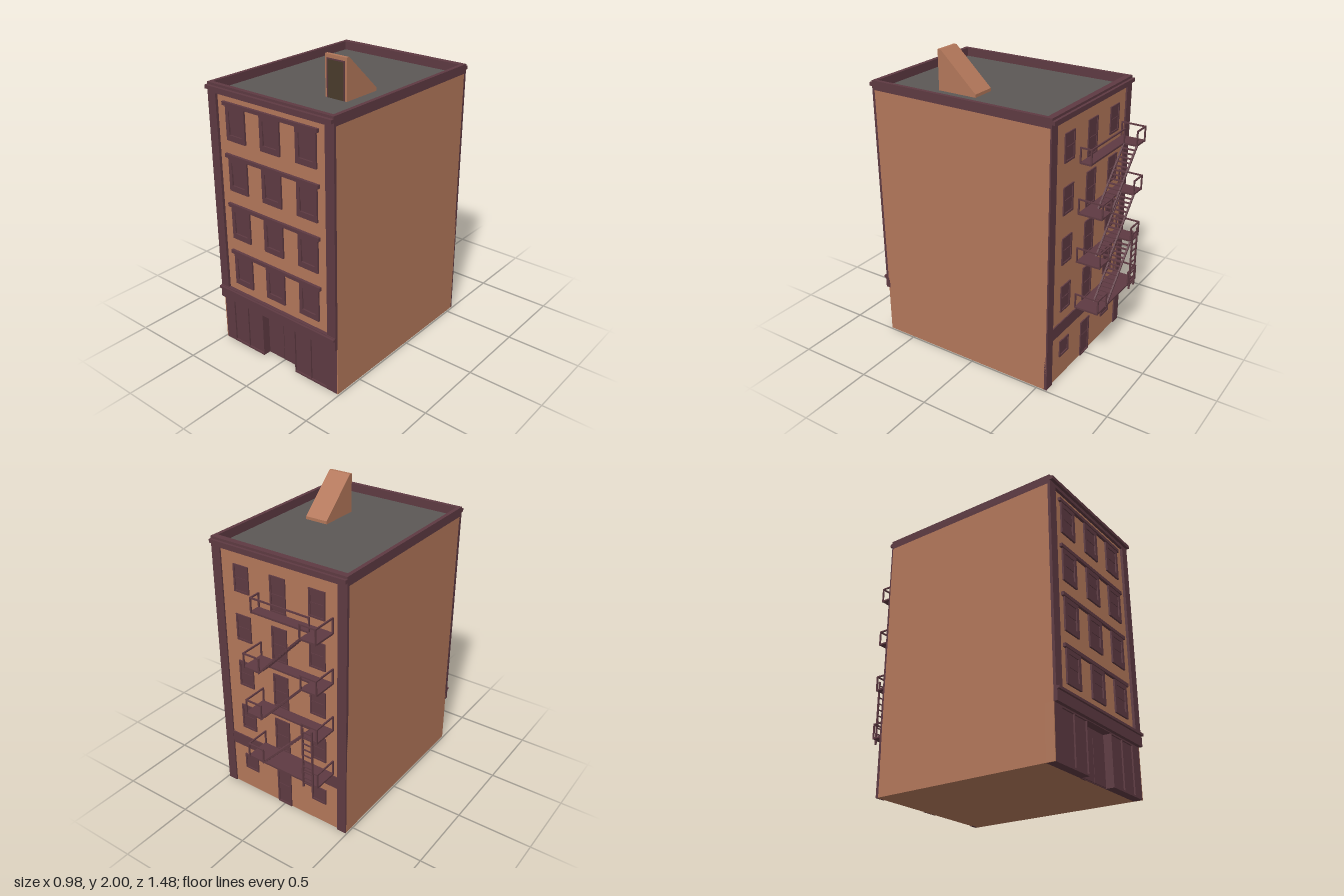
import * as THREE from 'three';

const mat = (color) => new THREE.MeshStandardMaterial({ color, flatShading: true });
const brick = mat(0xb3775a), plum = mat(0x5e3a42), tar = mat(0x5c5856), doorBrown = mat(0x4a3b2b);

export function createModel() {
  const model = new THREE.Group();

  const group = (name, parent = model) => {
    const g = new THREE.Group();
    g.name = name;
    parent.add(g);
    return g;
  };
  const add = (parent, name, geometry, material) => {
    const mesh = new THREE.Mesh(geometry, material);
    mesh.name = name;
    parent.add(mesh);
    return mesh;
  };
  // Box given by its extents on each axis
  const box = (parent, name, material, x0, x1, y0, y1, z0, z1) => {
    const mesh = add(parent, name, new THREE.BoxGeometry(x1 - x0, y1 - y0, z1 - z0), material);
    mesh.position.set((x0 + x1) / 2, (y0 + y1) / 2, (z0 + z1) / 2);
    return mesh;
  };
  const outline = (points) => new THREE.Shape(points.map(([x, y]) => new THREE.Vector2(x, y)));
  const rect = (x0, x1, y0, y1) => outline([[x0, y0], [x1, y0], [x1, y1], [x0, y1]]);
  // Flat shape with holes, extruded along z
  const slab = (parent, name, material, shape, holes, z0, depth) => {
    shape.holes = holes;
    const mesh = add(parent, name,
      new THREE.ExtrudeGeometry(shape, { depth, bevelEnabled: false }), material);
    mesh.position.z = z0;
    return mesh;
  };
  // Square bar between two points
  const bar = (parent, name, a, b, t = 0.009) => {
    const p = new THREE.Vector3(...a), q = new THREE.Vector3(...b);
    const mesh = add(parent, name, new THREE.BoxGeometry(t, t, p.distanceTo(q) + t), plum);
    mesh.position.copy(p).lerp(q, 0.5);
    mesh.lookAt(q);
  };

  // Brick body and roof
  const body = group('body');
  box(body, 'upperWalls', brick, -0.49, 0.49, 0.33, 1.74, -0.56, 0.70);
  box(body, 'groundWalls', brick, -0.49, 0.49, 0, 0.33, -0.56, 0.64);
  for (const s of [-1, 1]) {
    const a = s * 0.484, b = s * 0.49;
    box(body, 'wallEnd', brick, Math.min(a, b), Math.max(a, b), 0, 0.33, 0.64, 0.70);
  }
  box(body, 'roofDeck', tar, -0.47, 0.47, 1.74, 1.743, -0.54, 0.695);

  // Parapet and cornices
  const parapet = group('parapet');
  const ring = slab(parapet, 'parapetWall', plum, rect(-0.49, 0.49, -0.718, 0.57),
    [rect(-0.465, 0.465, -0.69, 0.53)], 0, 0.06);
  ring.rotation.x = -Math.PI / 2;
  ring.position.y = 1.74;
  box(parapet, 'frontCornice', plum, -0.49, 0.49, 1.762, 1.785, 0.71, 0.738);
  box(parapet, 'backCornice', plum, -0.49, 0.49, 1.762, 1.785, -0.587, -0.56);

  // Corner strips and belts
  const trim = group('trim');
  for (const s of [-1, 1]) {
    const a = Math.min(s * 0.425, s * 0.49), b = Math.max(s * 0.425, s * 0.49);
    box(trim, 'frontCornerStrip', plum, a, b, 0.41, 1.745, 0.69, 0.718);
    box(trim, 'backCornerStrip', plum, a, b, 0, 1.745, -0.57, -0.55);
  }
  box(trim, 'frontBelt', plum, -0.49, 0.49, 0.33, 0.418, 0.69, 0.724);
  box(trim, 'frontBeltLedge', plum, -0.49, 0.49, 0.398, 0.414, 0.71, 0.738);
  box(trim, 'backBelt', plum, -0.43, 0.43, 0.33, 0.415, -0.568, -0.55);

  // Front windows: frame, two sashes and a shared lintel per floor
  const floorStep = 0.329;
  const frontWindows = group('frontWindows');
  for (let floor = 0; floor < 4; floor++) {
    const y = 0.475 + floor * floorStep;
    for (const x of [-0.277, 0, 0.277]) {
      const w = group('frontWindow', frontWindows);
      w.position.set(x, y, 0);
      slab(w, 'frame', plum, rect(-0.077, 0.077, 0, 0.22), [rect(-0.052, 0.052, 0.037, 0.187)], 0.695, 0.017);
      box(w, 'upperSash', plum, -0.052, 0.052, 0.11, 0.187, 0.69, 0.706);
      box(w, 'lowerSash', plum, -0.052, 0.052, 0.037, 0.11, 0.69, 0.702);
    }
    box(frontWindows, 'lintel', plum, -0.375, 0.37, y + 0.217, y + 0.24, 0.69, 0.718);
  }

  // Shopfront with glazed bays and a recessed entry
  const shop = group('shopfront');
  const bays = [[-0.402, -0.279], [-0.275, -0.146], [0.14, 0.269], [0.273, 0.4]];
  slab(shop, 'shopWall', plum,
    outline([[-0.484, 0], [-0.14, 0], [-0.14, 0.325], [0.136, 0.325], [0.136, 0], [0.484, 0],
      [0.484, 0.33], [-0.484, 0.33]]),
    bays.map(([a, b]) => rect(a, b, 0.012, 0.32)), 0.64, 0.06);
  for (const [a, b] of bays) box(shop, 'shopPane', plum, a, b, 0.012, 0.32, 0.64, 0.69);
  box(shop, 'entryBack', plum, -0.14, 0.136, 0, 0.325, 0.63, 0.645);
  for (const [a, b] of [[-0.132, -0.004], [0, 0.128]])
    box(shop, 'entryDoor', plum, a, b, 0.004, 0.288, 0.64, 0.651);

  // Back openings: a framed panel facing -z
  const back = group('backOpenings');
  const opening = (name, x, y0, y1, halfWidth, rail) => {
    const g = group(name, back), h = halfWidth, t = 0.012;
    slab(g, 'frame', plum, rect(x - h, x + h, y0, y1),
      [rect(x - h + t, x + h - t, y0 + t, y1 - t)], -0.568, 0.012);
    box(g, 'panel', plum, x - h + t, x + h - t, y0 + t, y1 - t, -0.562, -0.55);
    if (rail) box(g, 'rail', plum, x - h + t, x + h - t, rail - 0.005, rail + 0.005, -0.566, -0.55);
  };
  for (let floor = 0; floor < 4; floor++) {
    const y = 0.43 + floor * 0.331;
    opening('backWindow', -0.28, y + 0.06, y + 0.24, 0.057, y + 0.15);
    opening('backWindow', 0.275, y + 0.06, y + 0.24, 0.057, y + 0.15);
    opening('escapeDoor', 0, y + 0.005, y + 0.24, 0.057, y + 0.12);
  }
  opening('smallWindow', -0.28, 0.155, 0.27, 0.055);
  opening('smallWindow', 0.275, 0.155, 0.27, 0.055);
  opening('backDoor', 0, 0, 0.26, 0.055, 0.15);

  // Fire escape
  const escape = group('fireEscape');
  const xl = -0.395, xr = 0.15, xa = -0.28, xb = 0.03; // platform ends and stairwell
  const zWall = -0.565, zMid = -0.637, zOut = -0.725, railH = 0.095;
  const rails = (parent, y, points) => points.forEach((p, i) => {
    bar(parent, 'post', [p[0], y, p[1]], [p[0], y + railH, p[1]]);
    if (i) bar(parent, 'handrail', [points[i - 1][0], y + railH, points[i - 1][1]], [p[0], y + railH, p[1]]);
  });
  for (let i = 0; i < 4; i++) {
    const y = 0.432 + i * 0.331, g = group('landing', escape);
    const deck = (x0, x1, z0, z1) => box(g, 'deck', plum, x0, x1, y - 0.006, y + 0.006, z0, z1);
    if (i === 0) deck(xl, xr, zOut, zWall);
    else {
      deck(xl, xr, zMid, zWall);
      deck(xl, xa, zOut, zMid);
      if (i < 3) deck(xb, xr, zOut, zMid);
    }
    const inset = 0.005;
    rails(g, y, [[xl + inset, zWall], [xl + inset, zOut], [xa, zOut]]);
    if (i < 3) rails(g, y, [[xb, zOut], [xr - inset, zOut], [xr - inset, zWall]]);
    else rails(g, y, [[xa, zMid], [xr - inset, zMid], [xr - inset, zWall]]);

    // Flight up to the next landing
    if (i < 3) {
      const flight = group('stairFlight', escape), top = y + 0.331;
      for (const z of [zMid, zOut]) bar(flight, 'stringer', [xb, y, z], [xa, top, z], 0.011);
      for (let s = 1; s < 15; s++) {
        const x = xb + (xa - xb) * s / 15, ty = y + 0.331 * s / 15;
        box(flight, 'tread', plum, x - 0.008, x + 0.008, ty - 0.003, ty + 0.003, zOut, zMid);
      }
    }
  }

  // Drop ladder
  const ladder = group('ladder', escape);
  for (const x of [-0.36, -0.29]) bar(ladder, 'ladderRail', [x, 0.405, -0.732], [x, 0.83, -0.732], 0.01);
  for (let i = 0; i < 10; i++)
    bar(ladder, 'rung', [-0.36, 0.43 + i * 0.042, -0.732], [-0.29, 0.43 + i * 0.042, -0.732], 0.007);

  // Roof stair hut: side profile extruded across x
  const hut = group('roofHut');
  const shell = slab(hut, 'hutShell', brick,
    outline([[-0.36, 1.74], [-0.085, 1.74], [-0.085, 1.763], [-0.338, 2], [-0.36, 2]]), [], 0, 0.16);
  shell.rotation.y = Math.PI / 2;
  shell.position.x = 0.122;
  slab(hut, 'hutDoorFrame', plum, rect(0.136, 0.268, 1.74, 1.978), [rect(0.143, 0.261, 1.74, 1.97)], 0.355, 0.009);
  box(hut, 'hutDoor', doorBrown, 0.143, 0.261, 1.743, 1.97, 0.35, 0.362);

  return model;
}
